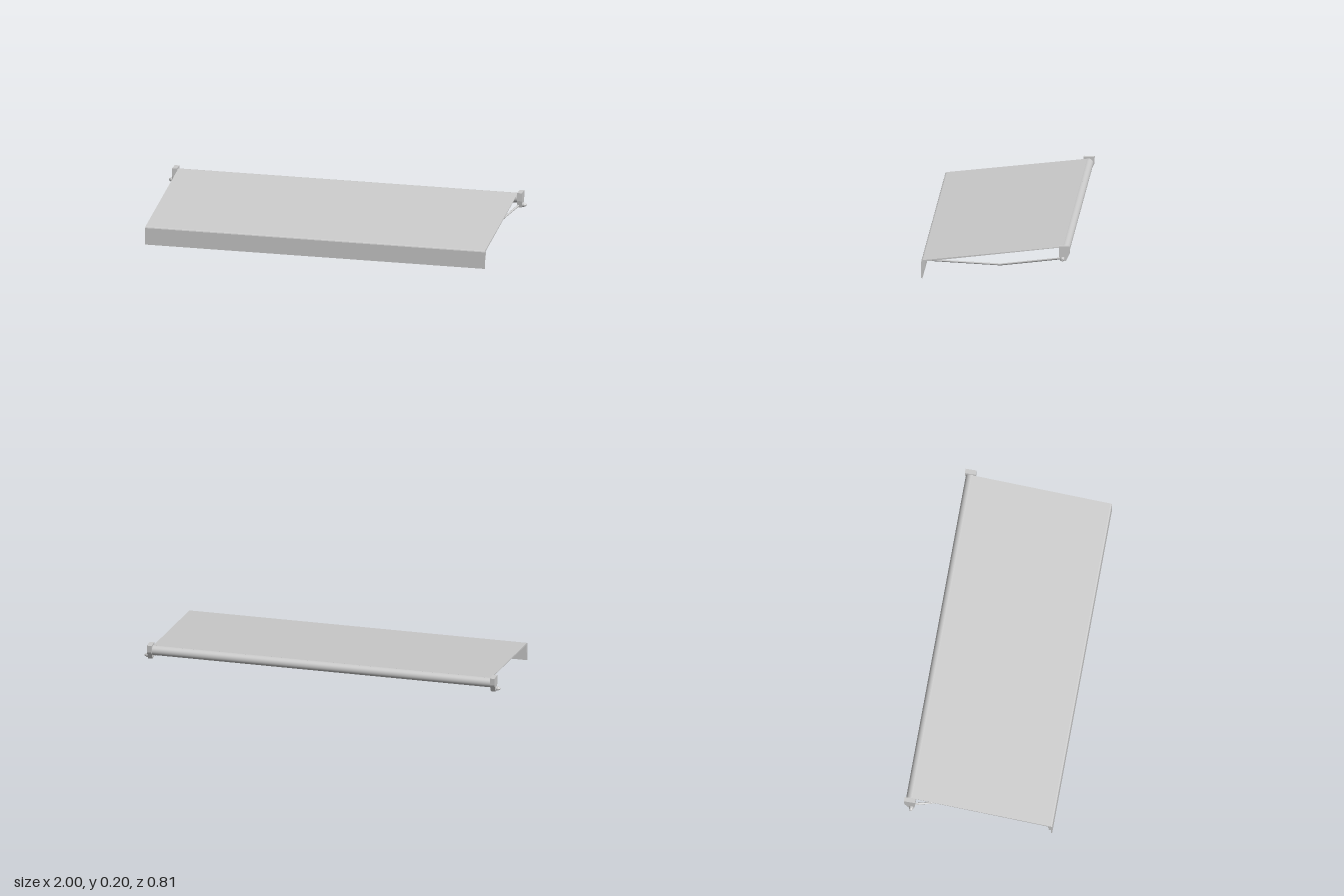
import * as THREE from 'three';

const material = new THREE.MeshStandardMaterial({ color: 0xcccccc, side: THREE.DoubleSide });

function mesh(name, geometry) {
  const m = new THREE.Mesh(geometry, material);
  m.name = name;
  return m;
}

// Side profile given as [z, y] points, extruded across x from x0 to x1
function sideExtrude(points, x0, x1) {
  const shape = new THREE.Shape(points.map(([z, y]) => new THREE.Vector2(-z, y)));
  const g = new THREE.ExtrudeGeometry(shape, { depth: x1 - x0, bevelEnabled: false });
  return g.rotateY(Math.PI / 2).translate(x0, 0, 0);
}

// Round rod between two points
function rod(name, a, b, radius) {
  const dir = b.clone().sub(a);
  const m = mesh(name, new THREE.CylinderGeometry(radius, radius, dir.length(), 16));
  m.position.copy(a).add(b).multiplyScalar(0.5);
  m.quaternion.setFromUnitVectors(new THREE.Vector3(0, 1, 0), dir.normalize());
  return m;
}

// Cylinder lying along x
function xCylinder(name, rInner, rOuter, x0, x1, y, z, sides = 24) {
  const g = new THREE.CylinderGeometry(rInner, rOuter, x1 - x0, sides).rotateZ(Math.PI / 2);
  const m = mesh(name, g);
  m.position.set((x0 + x1) / 2, y, z);
  return m;
}

// Wall bracket, pivot and folding arm for the +x end
function createSide() {
  const side = new THREE.Group();

  side.add(mesh('wallBracket', sideExtrude([
    [-0.347, 0.2], [-0.407, 0.2], [-0.405, 0.16], [-0.385, 0.118],
    [-0.352, 0.118], [-0.346, 0.155],
  ], 0.952, 0.978)));

  // Pivot pin with a collar and a narrowing tip
  const py = 0.13, pz = -0.366;
  side.add(xCylinder('pivotCollar', 0.012, 0.012, 0.976, 0.988, py, pz));
  side.add(xCylinder('pivotTip', 0.006, 0.011, 0.988, 1.0, py, pz, 12).rotateX(0));
  side.children.at(-1).rotation.y = Math.PI;

  // Folding arm, leaning inward towards the front bar
  const shoulder = new THREE.Vector3(0.962, py, pz);
  const elbow = new THREE.Vector3(0.845, 0.058, -0.02);
  const wrist = new THREE.Vector3(0.78, 0.06, 0.39);
  side.add(rod('upperArm', shoulder, elbow, 0.0055));
  side.add(rod('foreArm', elbow, wrist, 0.0055));

  const joint = mesh('elbowJoint', new THREE.SphereGeometry(0.0056, 16, 10));
  joint.position.copy(elbow);
  side.add(joint);
  return side;
}

export function createModel() {
  const model = new THREE.Group();
  model.name = 'awning';

  // Sloping fabric with a rounded fold into the hanging valance
  model.add(mesh('canopyAndValance', sideExtrude([
    [-0.375, 0.192], [-0.375, 0.189], [0.392, 0.094], [0.4, 0.091], [0.4, 0],
    [0.407, 0], [0.407, 0.094], [0.405, 0.099], [0.399, 0.102],
  ], -0.95, 0.95)));

  // Fabric roller at the wall
  model.add(xCylinder('rollerTube', 0.027, 0.027, -0.955, 0.955, 0.165, -0.374, 40));

  // Front bar in two stacked sections
  [['frontBarUpper', 0.0825, 0.022, 0.015], ['frontBarLower', 0.0595, 0.023, 0.013]].forEach(([name, y, h, d]) => {
    const bar = mesh(name, new THREE.BoxGeometry(1.9, h, d));
    bar.position.set(0, y, 0.4 - d / 2);
    model.add(bar);
  });

  // Matching hardware at both ends
  for (const [name, s] of [['leftSide', 1], ['rightSide', -1]]) {
    const side = createSide();
    side.name = name;
    side.scale.x = s;
    model.add(side);
  }
  return model;
}
